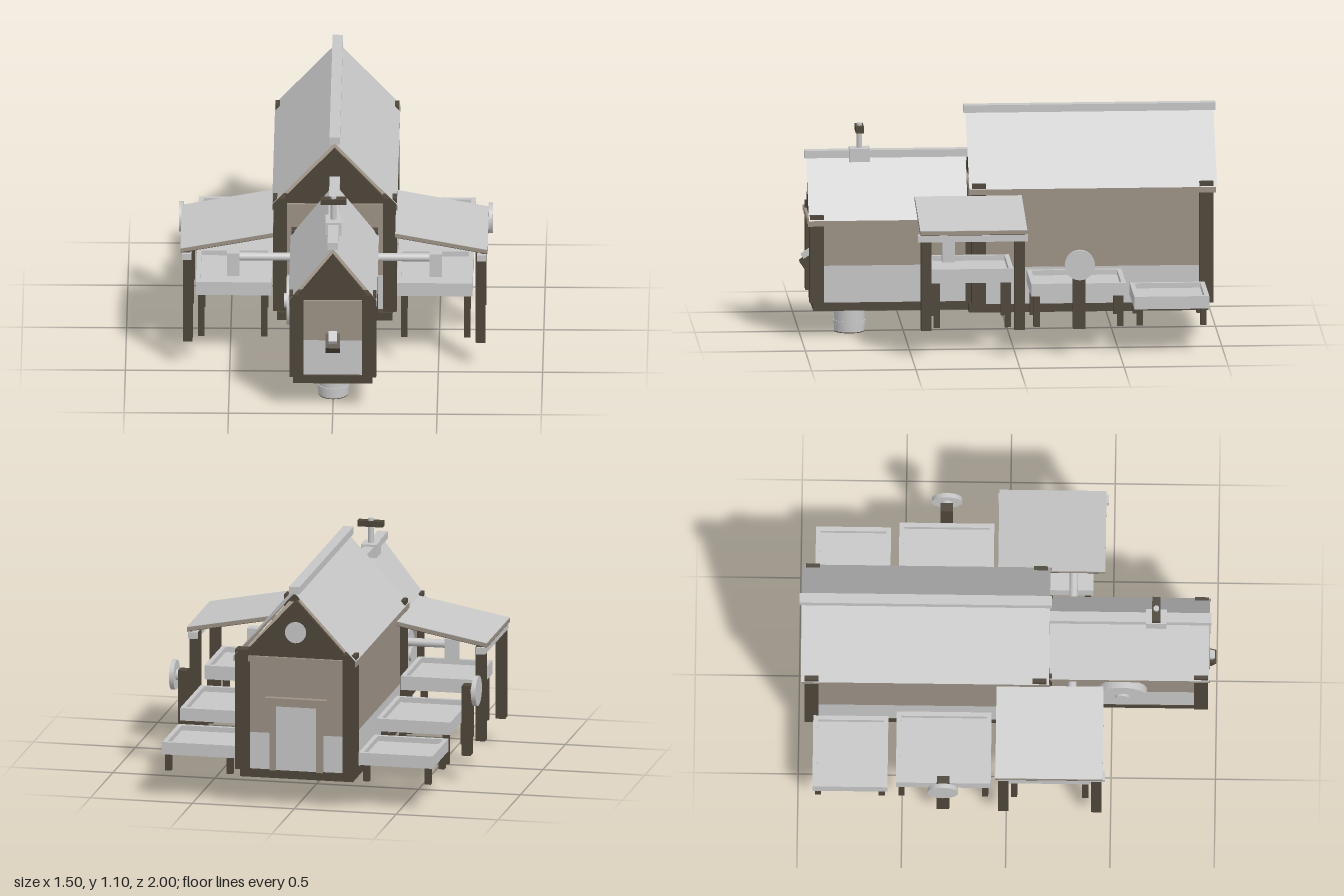
import * as THREE from 'three';

const grey = new THREE.MeshStandardMaterial({ color: 0xc6c6c6 });
grey.name = 'pale grey metal';
const brown = new THREE.MeshStandardMaterial({ color: 0x9b9184 });
brown.name = 'light timber';
const dark = new THREE.MeshStandardMaterial({ color: 0x4e453a });
dark.name = 'dark timber';

function add(parent, name, geometry, material) {
  const mesh = new THREE.Mesh(geometry, material);
  mesh.name = name;
  parent.add(mesh);
  return mesh;
}

// Box given by its extents on each axis
function box(parent, name, material, x0, x1, y0, y1, z0, z1) {
  const mesh = add(parent, name, new THREE.BoxGeometry(Math.abs(x1 - x0), y1 - y0, Math.abs(z1 - z0)), material);
  mesh.position.set((x0 + x1) / 2, (y0 + y1) / 2, (z0 + z1) / 2);
  return mesh;
}

// Four boxes around a rectangle, with rim thickness t
function frame(parent, name, material, x0, x1, y0, y1, z0, z1, t) {
  for (const [a, b] of [[x0, x0 + t], [x1 - t, x1]]) box(parent, name, material, a, b, y0, y1, z0, z1);
  for (const [a, b] of [[z0, z0 + t], [z1 - t, z1]]) box(parent, name, material, x0 + t, x1 - t, y0, y1, a, b);
}

// Cylinder lying along x
function axle(parent, name, material, r, x0, x1, y, z) {
  const geometry = new THREE.CylinderGeometry(r, r, Math.abs(x1 - x0), 24).rotateZ(Math.PI / 2);
  const mesh = add(parent, name, geometry, material);
  mesh.position.set((x0 + x1) / 2, y, z);
  return mesh;
}

// Cross-section in x and y, extruded from z0 to z1
function prism(parent, name, material, points, z0, z1) {
  const shape = new THREE.Shape(points.map(([x, y]) => new THREE.Vector2(x, y)));
  const geometry = new THREE.ExtrudeGeometry(shape, { depth: z1 - z0, bevelEnabled: false });
  geometry.translate(0, 0, z0);
  return add(parent, name, geometry, material);
}

// One roof sheet, from the ridge line down to the eave, facing outward
function roofSheet(parent, s, half, eave, apex, z0, z1) {
  const geometry = new THREE.PlaneGeometry(Math.hypot(half, apex - eave), z1 - z0);
  geometry.rotateX(-Math.PI / 2).rotateZ(-s * Math.atan2(apex - eave, half));
  const mesh = add(parent, 'roofSheet', geometry, grey);
  mesh.position.set(s * half / 2, (eave + apex) / 2, (z0 + z1) / 2);
}

// Gabled shed: floor, two-tone walls, corner posts, beams, gables and roof
function shed(name, o) {
  const g = new THREE.Group();
  g.name = name;
  frame(g, 'floorFrame', dark, -o.floor, o.floor, 0.14, 0.18, o.floorBack, o.floorFront, 0.018);
  box(g, 'floor', dark, -o.floor + 0.018, o.floor - 0.018, 0.16, 0.18, o.floorBack + 0.018, o.floorFront - 0.018);
  box(g, 'lowerWalls', grey, -o.wall, o.wall, 0.18, 0.36, o.back + 0.03, o.front - 0.03);
  box(g, 'upperWalls', brown, -o.wall, o.wall, 0.36, o.eave - 0.005, o.back + 0.03, o.front - 0.03);
  for (const s of [-1, 1]) {
    for (const z of [o.back, o.front - 0.067]) {
      box(g, 'cornerPost', dark, s * (o.post - 0.067), s * o.post, 0.18, o.eave + 0.026, z, z + 0.067);
    }
    box(g, 'eaveBeam', brown, s * (o.post - 0.001), s * (o.post + 0.003), o.eave - 0.027, o.eave, o.roofBack + 0.005, o.roofFront + 0.005);
    roofSheet(g, s, o.roof, o.eave, o.apex, o.roofBack, o.roofFront);
  }
  const inner = o.post - 0.067;
  for (const z of [o.back - 0.008, o.front - 0.022]) {
    box(g, 'crossBeam', brown, -inner, inner, o.eave - 0.027, o.eave, z, z + 0.03);
  }
  const gx = (o.gable - o.eave) * o.roof / (o.apex - o.eave);
  for (const z of [o.back + 0.005, o.front - 0.025]) {
    prism(g, 'gable', dark, [[-gx, o.eave], [gx, o.eave], [0, o.gable]], z, z + 0.02);
  }
  box(g, 'ridge', grey, -0.025, 0.025, o.apex - 0.003, o.apex + 0.033, o.roofBack - 0.01, o.roofFront + 0.01);
  return g;
}

// Shallow tray on four legs
function table(parent, s, y0, y1, z0, z1) {
  const g = new THREE.Group();
  g.name = 'trayTable';
  parent.add(g);
  const x0 = Math.min(s * 0.3, s * 0.663), x1 = x0 + 0.363, r = 0.022;
  frame(g, 'trayRim', grey, x0, x1, y0, y1, z0, z1, r);
  box(g, 'trayFloor', grey, x0 + r, x1 - r, y1 - 0.045, y1 - 0.025, z0 + r, z1 - r);
  for (const x of [0.32, 0.622]) {
    for (const z of [z0 + 0.012, z1 - 0.042]) {
      box(g, 'tableLeg', dark, s * x, s * (x + 0.03), 0.14, y1 - 0.045, z, z + 0.03);
    }
  }
}

// Everything that stands along one long side
function sideYard(s) {
  const g = new THREE.Group();
  g.name = s > 0 ? 'leftYard' : 'rightYard';
  table(g, s, 0.36, 0.428, 0.01, 0.405);
  table(g, s, 0.29, 0.352, -0.53, -0.075);
  table(g, s, 0.222, 0.283, -0.93, -0.57);

  // Sloping canopy with a pale top sheet and a dark lining
  const layer = (name, material, top, bottom) => prism(g, name, material,
    [[0.293, 0.714 - top], [0.736, 0.63 - top], [0.736, 0.63 - bottom], [0.293, 0.714 - bottom]]
      .map(([x, y]) => [s * x, y]), -0.052, 0.462);
  layer('canopySheet', grey, 0, 0.002);
  layer('canopy', brown, 0.002, 0.021);
  layer('canopyLining', dark, 0.021, 0.023);
  box(g, 'canopyBeam', grey, s * 0.684, s * 0.728, 0.573, 0.605, -0.055, 0.473);
  for (const z of [-0.04, 0.407]) {
    box(g, 'canopyPost', dark, s * 0.678, s * 0.725, 0.14, 0.605, z, z + 0.05);
  }

  // Pipe arm from the front shed
  axle(g, 'pipeArm', grey, 0.02, s * 0.18, s * 0.46, 0.522, 0.31);
  box(g, 'pipeHead', grey, s * 0.455, s * 0.515, 0.433, 0.552, 0.282, 0.343);

  // Grinding wheel on a post
  box(g, 'wheelPost', dark, s * 0.675, s * 0.718, 0.14, 0.485, -0.333, -0.273);
  axle(g, 'wheelHub', grey, 0.027, s * 0.7, s * 0.735, 0.457, -0.303);
  axle(g, 'wheel', grey, 0.073, s * 0.73, s * 0.752, 0.457, -0.303);
  return g;
}

export function createModel() {
  const model = new THREE.Group();
  model.name = 'workshop';
  const yard = new THREE.Group();
  yard.name = 'buildingsAndYard';
  yard.position.y = -0.006;
  model.add(yard);

  const hall = shed('mainHall', {
    floor: 0.277, floorBack: -0.95, floorFront: 0.2, wall: 0.272, post: 0.297, back: -0.972, front: 0.187,
    eave: 0.745, roof: 0.3, apex: 1.07, gable: 1.03, roofBack: -0.99, roofFront: 0.2,
  });
  const annex = shed('frontShed', {
    floor: 0.19, floorBack: 0.2, floorFront: 0.943, wall: 0.187, post: 0.208, back: 0.145, front: 0.96,
    eave: 0.583, roof: 0.212, apex: 0.857, gable: 0.818, roofBack: 0.2, roofFront: 0.965,
  });
  yard.add(hall, annex);

  // Back door and round gable window
  box(hall, 'door', grey, -0.1, 0.1, 0.18, 0.5, -0.95, -0.94);
  for (const s of [-1, 1]) box(hall, 'doorJamb', brown, s * 0.1, s * 0.13, 0.18, 0.5, -0.965, -0.94);
  box(hall, 'doorLintel', brown, -0.15, 0.15, 0.5, 0.54, -0.972, -0.94);
  const pane = add(hall, 'roundWindow', new THREE.CylinderGeometry(0.052, 0.052, 0.009, 16).rotateX(Math.PI / 2), grey);
  pane.position.set(0, 0.87, -0.97);

  // Ridge finial on the front shed
  box(annex, 'finialBase', grey, -0.038, 0.038, 0.835, 0.9, 0.66, 0.76);
  const rod = add(annex, 'finialRod', new THREE.CylinderGeometry(0.014, 0.014, 0.13, 12), grey);
  rod.position.set(0, 0.955, 0.71);
  box(annex, 'finialBar', dark, -0.062, 0.062, 0.98, 1.008, 0.69, 0.73);

  // Tilted spout on the front wall
  const spout = new THREE.Group();
  spout.name = 'spout';
  spout.position.set(0, 0.36, 0.955);
  spout.rotation.x = 0.6;
  box(spout, 'spoutBody', dark, -0.035, 0.035, -0.03, 0.015, -0.04, 0.042);
  box(spout, 'spoutCover', grey, -0.02, 0.02, 0.015, 0.038, -0.04, 0.018);
  annex.add(spout);

  // Large disc on the right wall of the front shed
  axle(annex, 'wallDisc', grey, 0.118, -0.226, -0.186, 0.4, 0.55);
  axle(annex, 'wallDiscHub', grey, 0.035, -0.238, -0.2, 0.4, 0.55);

  // Tank under the front shed
  const tank = (name, r, y0, y1, material) => {
    const mesh = add(model, name, new THREE.CylinderGeometry(r, r, y1 - y0, 32), material);
    mesh.position.set(0, (y0 + y1) / 2, 0.758);
  };
  tank('tank', 0.073, 0.004, 0.158, grey);
  tank('tankBand', 0.077, 0.038, 0.056, grey);
  tank('tankBottom', 0.072, 0, 0.004, dark);

  for (const s of [-1, 1]) yard.add(sideYard(s));
  return model;
}
